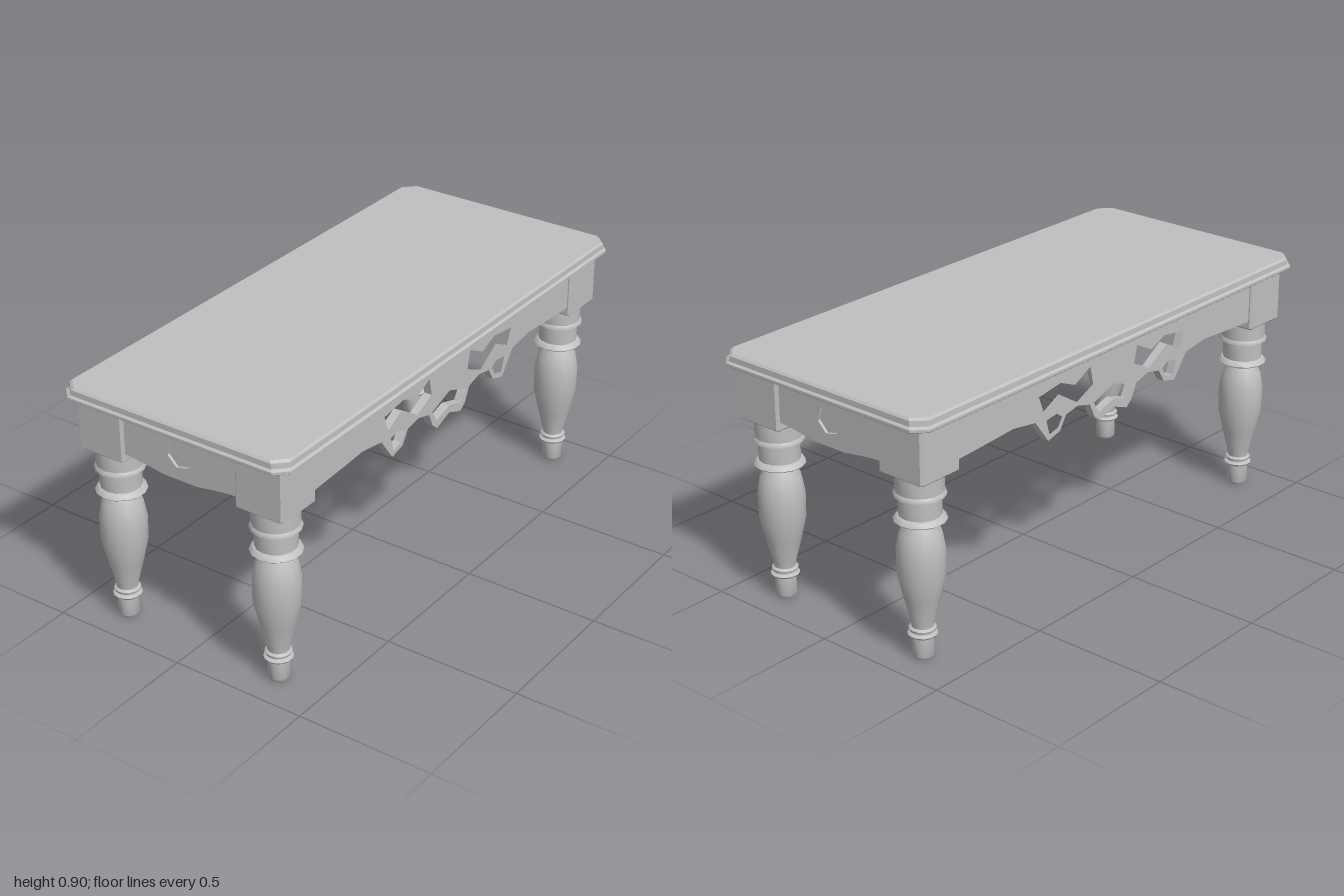
import * as THREE from 'three';
import { toCreasedNormals } from 'three/addons/utils/BufferGeometryUtils.js';

// Stack of corner-cut rectangles; each layer is [halfX, halfZ, y], bottom to top.
function stackedSlab(layers, cut) {
  const rings = layers.map(([hx, hz, y]) => [
    [hx, hz - cut], [hx, -hz + cut], [hx - cut, -hz], [-hx + cut, -hz],
    [-hx, -hz + cut], [-hx, hz - cut], [-hx + cut, hz], [hx - cut, hz],
  ].map(([x, z]) => [x, y, z]));
  const pos = [];
  const tri = (a, b, c) => pos.push(...a, ...b, ...c);
  for (let k = 0; k < rings.length - 1; k++) {
    for (let i = 0; i < 8; i++) {
      const j = (i + 1) % 8, a = rings[k], b = rings[k + 1];
      tri(a[i], a[j], b[j]);
      tri(a[i], b[j], b[i]);
    }
  }
  const low = rings[0], high = rings[rings.length - 1];
  for (let i = 1; i < 7; i++) {
    tri(high[0], high[i], high[i + 1]);
    tri(low[0], low[i + 1], low[i]);
  }
  const g = new THREE.BufferGeometry();
  g.setAttribute('position', new THREE.Float32BufferAttribute(pos, 3));
  g.computeVertexNormals();
  return g;
}

const toVectors = (pts) => pts.map(([x, y]) => new THREE.Vector2(x, y));
const mirrored = (pts) => pts.map(([x, y]) => [-x, y]);

// Apron board: lower edge listed from the outer end to the middle, then mirrored.
function apronGeometry(edge, holes, top, depth) {
  const end = edge[0][0];
  const back = mirrored(edge).reverse();
  const last = edge[edge.length - 1][0] === 0 ? back.slice(1) : back;
  const shape = new THREE.Shape(toVectors([[end, top], ...edge, ...last, [-end, top]]));
  shape.holes = holes.map((h) => new THREE.Path(toVectors(h)));
  return new THREE.ExtrudeGeometry(shape, { depth, bevelEnabled: false });
}

export function createModel() {
  const table = new THREE.Group();
  table.name = 'table';
  const wood = new THREE.MeshStandardMaterial({ color: 0xbfbfbf });
  wood.name = 'plain grey';

  const add = (parent, name, geometry, x = 0, y = 0, z = 0) => {
    const m = new THREE.Mesh(geometry, wood);
    m.name = name;
    m.position.set(x, y, z);
    parent.add(m);
    return m;
  };

  // Table top: wide lower lip with a bevelled board above
  add(table, 'topLip', stackedSlab([
    [0.446, 0.996, 0.855], [0.45, 1, 0.859], [0.45, 1, 0.868], [0.442, 0.992, 0.874],
  ], 0.042));
  add(table, 'topBoard', stackedSlab([
    [0.442, 0.992, 0.873], [0.441, 0.991, 0.893], [0.434, 0.984, 0.9],
  ], 0.042));

  // Turned legs with square corner blocks
  const profile = toVectors([
    [0, 0], [0.031, 0], [0.037, 0.009], [0.037, 0.078], [0.045, 0.08], [0.05, 0.087],
    [0.038, 0.093], [0.037, 0.099], [0.044, 0.1], [0.046, 0.108], [0.037, 0.114],
    [0.039, 0.13], [0.062, 0.22], [0.08, 0.3], [0.081, 0.39], [0.07, 0.45], [0.046, 0.492],
    [0.084, 0.494], [0.088, 0.498], [0.078, 0.512], [0.071, 0.515], [0.071, 0.582],
    [0.087, 0.584], [0.086, 0.59], [0.08, 0.598], [0.08, 0.662],
  ]);
  const legGeometry = toCreasedNormals(new THREE.LatheGeometry(profile, 14), 0.6);
  const blockGeometry = stackedSlab([
    [0.087, 0.082, 0.658], [0.093, 0.088, 0.664], [0.093, 0.088, 0.857],
  ], 0.007);
  for (const sx of [1, -1]) {
    for (const sz of [1, -1]) {
      const leg = new THREE.Group();
      leg.name = (sz > 0 ? 'front' : 'back') + (sx > 0 ? 'Left' : 'Right') + 'Leg';
      leg.position.set(sx * 0.319, 0, sz * 0.867);
      add(leg, 'turnedPost', legGeometry);
      add(leg, 'cornerBlock', blockGeometry);
      table.add(leg);
    }
  }

  // Long side aprons with pierced carving
  const scroll = [[0.388, 0.775], [0.278, 0.79], [0.205, 0.76], [0.125, 0.8],
    [0.11, 0.733], [0.195, 0.695], [0.29, 0.754], [0.365, 0.717]];
  const drop = [[0.35, 0.68], [0.297, 0.687], [0.27, 0.668], [0.291, 0.636], [0.334, 0.626]];
  const centre = [[0.104, 0.663], [0, 0.7], [-0.104, 0.663], [-0.078, 0.62], [0, 0.643], [0.078, 0.62]];
  const sideEdge = [[0.79, 0.69], [0.6, 0.7], [0.515, 0.706], [0.405, 0.69], [0.34, 0.604],
    [0.28, 0.62], [0.25, 0.668], [0.19, 0.68], [0.125, 0.663], [0.1, 0.61], [0.072, 0.588], [0, 0.615]];
  const sideThickness = 0.03;
  const sideGeometry = apronGeometry(sideEdge,
    [scroll, mirrored(scroll), drop, mirrored(drop), centre], 0.857, sideThickness);
  for (const s of [1, -1]) {
    const x = s > 0 ? 0.4 : -0.4 + sideThickness;
    const m = add(table, s > 0 ? 'leftApron' : 'rightApron', sideGeometry, x);
    m.rotation.y = -Math.PI / 2;
  }

  // Short end aprons with a sunken six-sided rosette
  const hexagon = [];
  for (let i = 0; i < 6; i++) {
    const a = (i / 6) * Math.PI * 2 + 0.25;
    hexagon.push([0.05 * Math.cos(a), 0.763 + 0.05 * Math.sin(a)]);
  }
  const endEdge = [[0.235, 0.692], [0.2, 0.69], [0.13, 0.682], [0.07, 0.672]];
  const endGeometry = apronGeometry(endEdge, [hexagon], 0.857, 0.03);
  const rosette = new THREE.ExtrudeGeometry(new THREE.Shape(toVectors(hexagon)),
    { depth: 0.01, bevelEnabled: false });
  for (const s of [1, -1]) {
    const end = new THREE.Group();
    end.name = s > 0 ? 'frontApron' : 'backApron';
    end.rotation.y = s > 0 ? 0 : Math.PI;
    add(end, 'apronBoard', endGeometry, 0, 0, 0.913);
    add(end, 'rosettePanel', rosette, 0, 0, 0.923);
    table.add(end);
  }

  return table;
}
